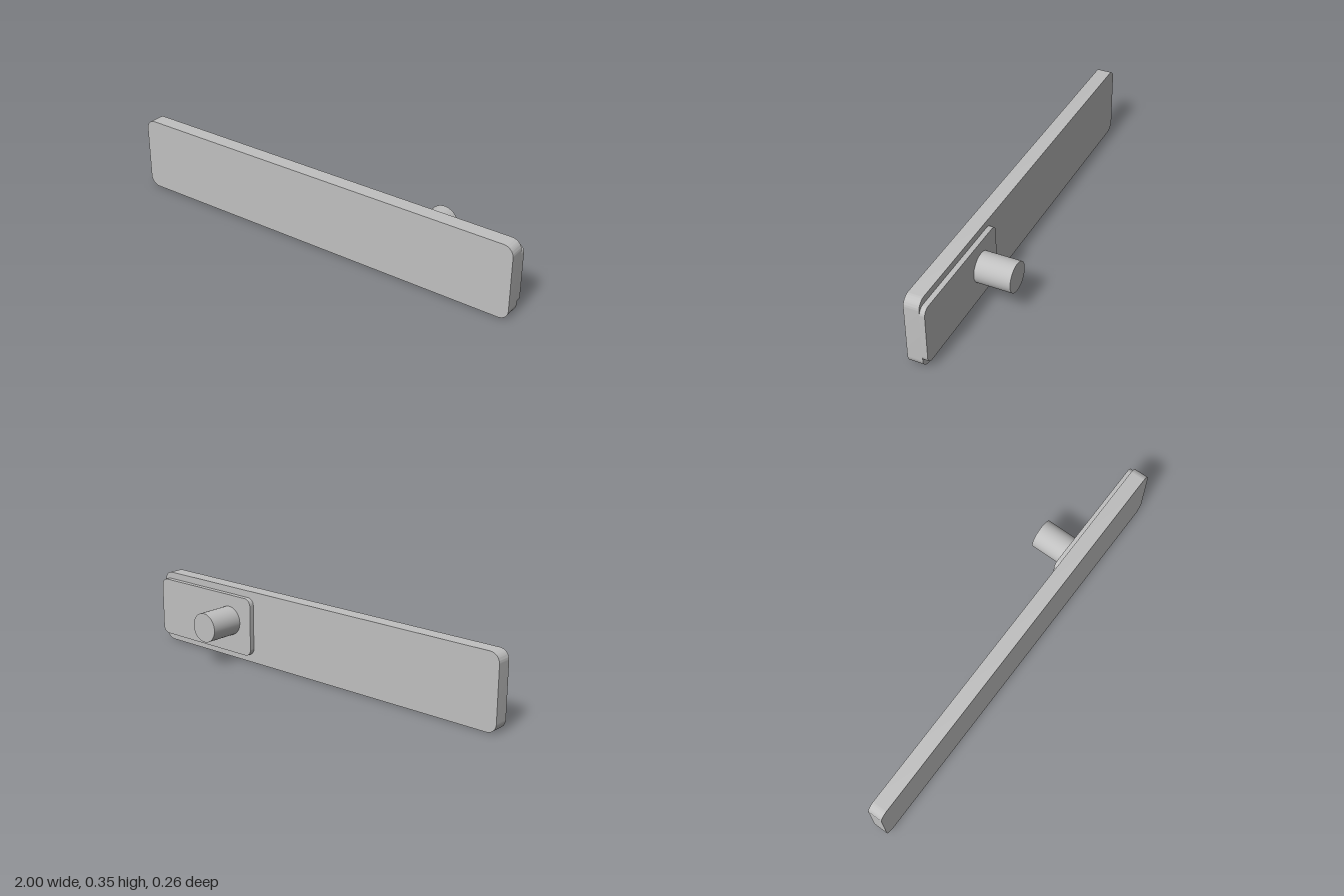
import * as THREE from 'three';
import { toCreasedNormals } from 'three/addons/utils/BufferGeometryUtils.js';

// Flat plate with rounded corners, from (x0, y0) to (x1, y1), between z0 and z1
function roundedPlate(name, x0, x1, y0, y1, z0, z1, r, material) {
  const s = new THREE.Shape();
  s.moveTo(x0 + r, y0);
  s.lineTo(x1 - r, y0);
  s.absarc(x1 - r, y0 + r, r, -Math.PI / 2, 0, false);
  s.lineTo(x1, y1 - r);
  s.absarc(x1 - r, y1 - r, r, 0, Math.PI / 2, false);
  s.lineTo(x0 + r, y1);
  s.absarc(x0 + r, y1 - r, r, Math.PI / 2, Math.PI, false);
  s.lineTo(x0, y0 + r);
  s.absarc(x0 + r, y0 + r, r, Math.PI, Math.PI * 1.5, false);
  const geo = new THREE.ExtrudeGeometry(s, { depth: z1 - z0, bevelEnabled: false, curveSegments: 12 });
  geo.translate(0, 0, z0);
  const mesh = new THREE.Mesh(toCreasedNormals(geo, Math.PI / 6), material);
  mesh.name = name;
  return mesh;
}

export function createModel() {
  const group = new THREE.Group();
  group.name = 'barWithPeg';
  const grey = new THREE.MeshStandardMaterial({ color: 0xc0c0c0 });
  grey.name = 'light grey';

  // Long front bar and the smaller mounting plate behind its left end
  group.add(roundedPlate('frontBar', -1, 1, 0, 0.353, 0.061, 0.132, 0.047, grey));
  group.add(roundedPlate('mountingPlate', 0.382, 1, 0.035, 0.32, 0.037, 0.061, 0.035, grey));

  // Round peg pointing backwards
  const peg = new THREE.Mesh(new THREE.CylinderGeometry(0.071, 0.071, 0.169, 48), grey);
  peg.name = 'peg';
  peg.rotation.x = Math.PI / 2;
  peg.position.set(0.522, 0.191, -0.0475);
  group.add(peg);

  return group;
}
